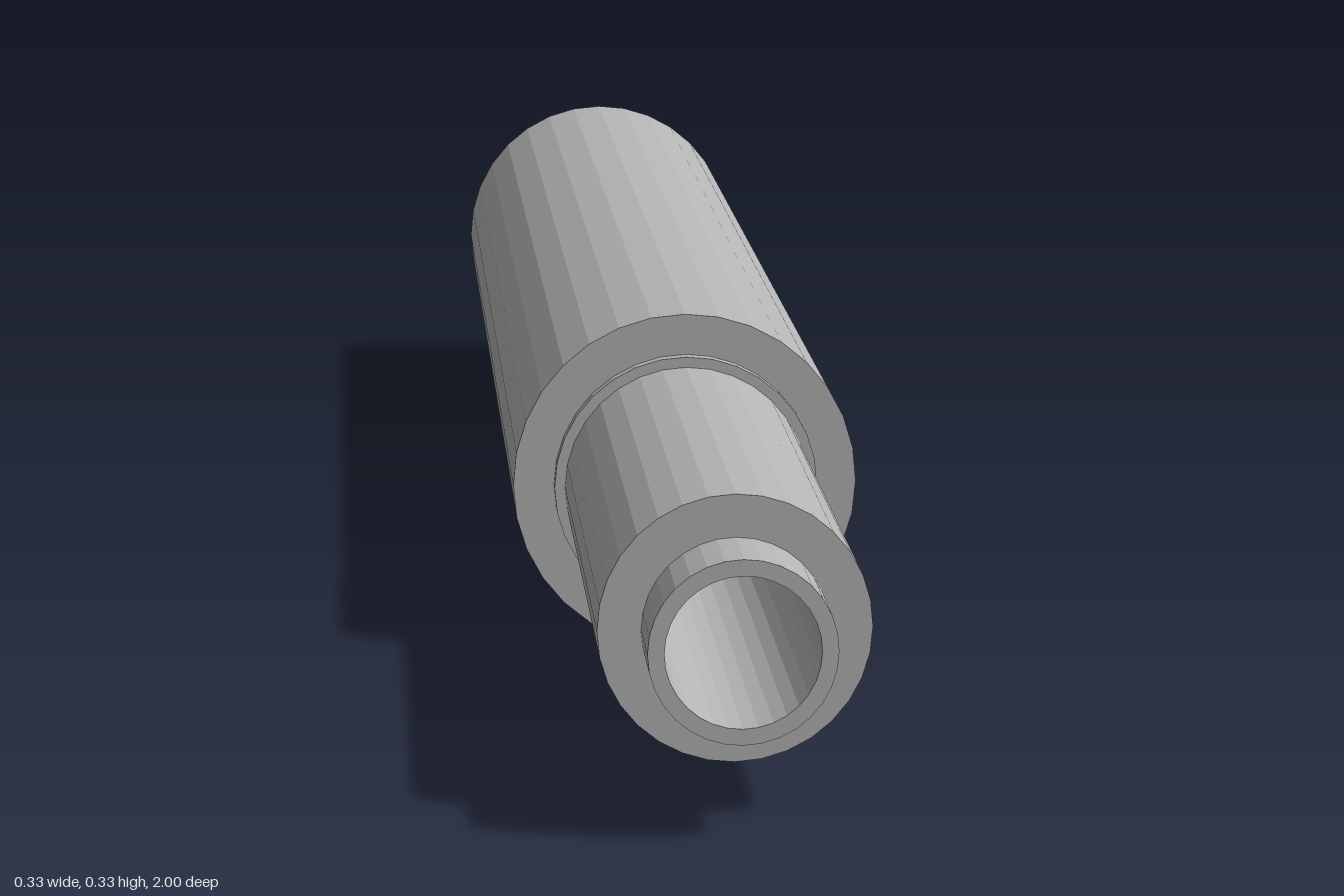
import * as THREE from 'three';

const SIDES = 32;
const AXIS_Y = 0.166;

export function createModel() {
  const group = new THREE.Group();
  group.name = 'steppedTube';
  const grey = new THREE.MeshStandardMaterial({ color: 0xb4b4b4, flatShading: true });
  grey.name = 'grey';

  // Body: closed profile of [radius, z] running out, forward, then back along the bore
  const floorZ = -0.955, bore = 0.065;
  const profile = [
    [bore, floorZ], [0.15, floorZ], [0.15, -1], [0.165, -1],
    [0.165, 0.395], [0.126, 0.395], [0.126, 0.408], [0.116, 0.408],
    [0.116, 0.925], [0.079, 0.925], [0.079, 1], [bore, 1], [bore, floorZ],
  ].map(([r, z]) => new THREE.Vector2(r, z));
  const bodyGeometry = new THREE.LatheGeometry(profile, SIDES);
  bodyGeometry.rotateX(Math.PI / 2);
  const body = new THREE.Mesh(bodyGeometry, grey);
  body.name = 'tubeBody';
  group.add(body);

  // Rear spoked plate: hub, rim and four spokes left between rounded pockets
  const polar = (r, a) => new THREE.Vector2(r * Math.cos(a), r * Math.sin(a));
  const ring = (r) => Array.from({ length: SIDES }, (_, i) => polar(r, (i / SIDES) * Math.PI * 2));
  const plateShape = new THREE.Shape(ring(0.15));
  plateShape.holes.push(new THREE.Path(ring(bore)));

  const inner = 0.08, outer = 0.136, halfSpoke = 0.006, corner = 0.014;
  for (let k = 0; k < 4; k++) {
    const start = (k * Math.PI) / 2, end = start + Math.PI / 2;
    const edge = (r) => Math.asin(halfSpoke / r);
    const points = [];
    const arc = (r, from, to) => {
      for (let i = 0; i <= 8; i++) points.push(polar(r, from + ((to - from) * i) / 8));
    };
    const round = (a, b, c) => {
      points.push(...new THREE.QuadraticBezierCurve(a, b, c).getPoints(4).slice(1, -1));
    };
    const lowSide = polar(inner + corner, start + edge(inner + corner));
    const highSide = polar(outer - corner, start + edge(outer - corner));
    const lowEnd = polar(inner + corner, end - edge(inner + corner));
    const highEnd = polar(outer - corner, end - edge(outer - corner));
    const ai = edge(inner) + corner / inner, ao = edge(outer) + corner / outer;

    arc(outer, start + ao, end - ao);
    round(polar(outer, end - ao), polar(outer, end - edge(outer)), highEnd);
    points.push(highEnd, lowEnd);
    round(lowEnd, polar(inner, end - edge(inner)), polar(inner, end - ai));
    arc(inner, end - ai, start + ai);
    round(polar(inner, start + ai), polar(inner, start + edge(inner)), lowSide);
    points.push(lowSide, highSide);
    round(highSide, polar(outer, start + edge(outer)), polar(outer, start + ao));
    plateShape.holes.push(new THREE.Path(points));
  }

  const plateGeometry = new THREE.ExtrudeGeometry(plateShape, { depth: 0.033, bevelEnabled: false });
  const plate = new THREE.Mesh(plateGeometry, grey);
  plate.name = 'rearSpokedPlate';
  plate.position.z = floorZ - 0.033;
  group.add(plate);

  group.position.y = AXIS_Y;
  const model = new THREE.Group();
  model.name = 'model';
  model.add(group);
  return model;
}
